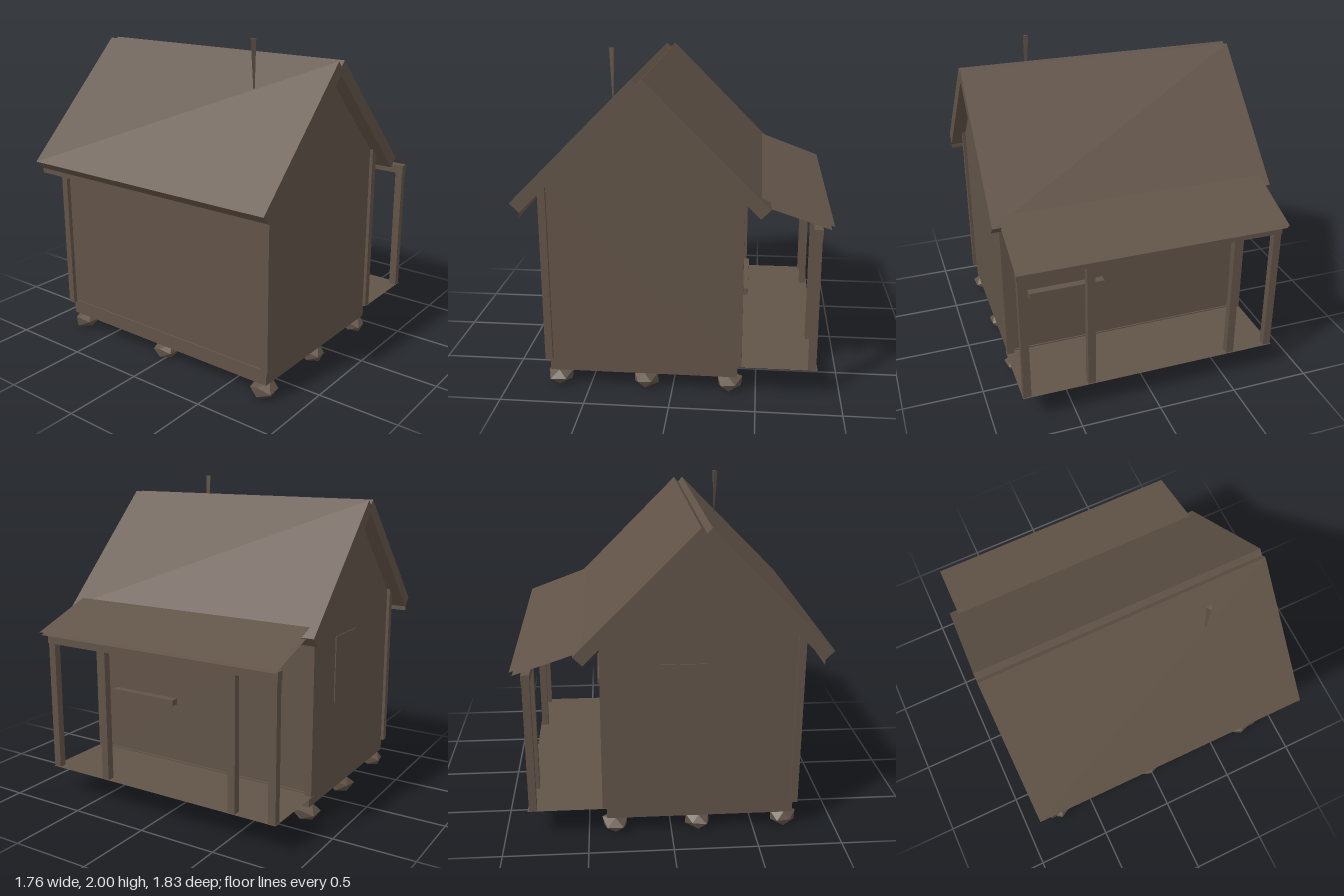
import * as THREE from 'three';

export function createModel() {
  const model = new THREE.Group();
  const wood = new THREE.MeshStandardMaterial({ color: 0x615347, side: THREE.DoubleSide, flatShading: true });
  wood.name = 'weathered wood';
  const MID = 0.175; // z of the ridge

  const add = (name, geo) => {
    const mesh = new THREE.Mesh(geo, wood);
    mesh.name = name;
    model.add(mesh);
    return mesh;
  };
  // box given by its limits
  const block = (name, x0, x1, y0, y1, z0, z1) => {
    const mesh = add(name, new THREE.BoxGeometry(x1 - x0, y1 - y0, z1 - z0));
    mesh.position.set((x0 + x1) / 2, (y0 + y1) / 2, (z0 + z1) / 2);
    return mesh;
  };
  // [z, y] outline extruded along x
  const profile = (name, pts, x0, x1) => {
    const shape = new THREE.Shape(pts.map(([z, y]) => new THREE.Vector2(-z, y)));
    const geo = new THREE.ExtrudeGeometry(shape, { depth: x1 - x0, bevelEnabled: false });
    geo.rotateY(Math.PI / 2).translate(x0, 0, 0);
    return add(name, geo);
  };
  // flat sheet spanning x0..x1 between two [z, y] points
  const sheet = (name, x0, x1, [za, ya], [zb, yb]) => {
    const geo = new THREE.BufferGeometry();
    geo.setAttribute('position', new THREE.Float32BufferAttribute(
      [x0, ya, za, x1, ya, za, x1, yb, zb, x0, yb, zb], 3));
    geo.setIndex([0, 1, 2, 0, 2, 3]);
    geo.computeVertexNormals();
    return add(name, geo);
  };

  // foundation stones: squashed, jittered icosahedra around the perimeter
  let seed = 7;
  const rand = () => (seed = (seed * 16807) % 2147483647) / 2147483647;
  for (const x of [-0.74, -0.01, 0.74]) {
    for (const z of [0.69, 0.165, -0.34]) {
      if (x === -0.01 && z === 0.165) continue;
      const geo = new THREE.IcosahedronGeometry(1, 0);
      const p = geo.attributes.position;
      const moved = new Map();
      for (let i = 0; i < p.count; i++) {
        const key = [p.getX(i), p.getY(i), p.getZ(i)].map((v) => v.toFixed(2)).join();
        if (!moved.has(key)) moved.set(key, 0.82 + 0.3 * rand());
        const k = moved.get(key);
        const y = THREE.MathUtils.clamp(p.getY(i) * k * 0.058, -0.048, 0.052);
        p.setXYZ(i, p.getX(i) * k * 0.088, y, p.getZ(i) * k * 0.085);
      }
      geo.computeVertexNormals();
      add('foundationStone', geo).position.set(x, 0.05, z);
    }
  }

  // sill beams and floor
  block('sillBeamFront', -0.79, 0.79, 0.1, 0.19, 0.65, 0.74);
  block('sillBeamBack', -0.79, 0.79, 0.1, 0.19, -0.39, -0.3);
  for (const s of [-1, 1]) {
    block('sillBeamSide', Math.min(s * 0.79, s * 0.7), Math.max(s * 0.79, s * 0.7), 0.1, 0.19, -0.3, 0.65);
  }
  sheet('floor', -0.7, 0.7, [0.65, 0.185], [-0.3, 0.185]);

  // long walls and gable walls
  block('frontWall', -0.79, 0.79, 0.197, 1.24, 0.72, 0.74);
  block('backWall', -0.79, 0.79, 0.197, 1.24, -0.39, -0.37);
  for (const s of [-1, 1]) {
    const x0 = s > 0 ? 0.775 : -0.795;
    profile('gableWall', [[0.74, 0.19], [0.74, 1.245], [MID, 1.81], [-0.39, 1.245], [-0.39, 0.19]], x0, x0 + 0.02);
    // corner posts
    const c0 = s > 0 ? 0.77 : -0.815;
    profile('cornerPost', [[0.765, 0.18], [0.765, 1.22], [0.72, 1.26], [0.72, 0.18]], c0, c0 + 0.045);
    profile('cornerPost', [[-0.415, 0.18], [-0.415, 1.22], [-0.37, 1.26], [-0.37, 0.18]], c0, c0 + 0.045);
  }

  // two crossing roof slabs
  for (const s of [1, -1]) {
    const pts = [[0.735, 1.18], [0.03, 1.89], [-0.025, 1.835], [0.68, 1.125]];
    profile('roofSlab', pts.map(([z, y]) => [MID + s * z, y]), -0.88, 0.88);
  }
  sheet('eaveBoard', -0.88, 0.88, [0.857, 1.13], [0.857, 1.097]);

  // window and trim
  block('sideWindow', -0.801, -0.795, 0.67, 1.09, -0.09, 0.21);
  block('windowSill', 0.17, 0.66, 0.58, 0.62, -0.44, -0.39);
  block('windowLintel', 0.18, 0.64, 1.12, 1.165, -0.397, -0.39);
  block('doorLintel', -0.47, -0.02, 1.14, 1.185, -0.397, -0.39);

  // back porch: deck, posts, beam and thin roof
  sheet('porchDeck', -0.82, 0.82, [-0.385, 0.183], [-0.86, 0.183]);
  for (const x of [-0.792, -0.53, 0.39, 0.792]) {
    block('porchPost', x - 0.024, x + 0.024, 0.18, 1.0, -0.852, -0.807);
  }
  block('porchBeam', -0.82, 0.82, 1.0, 1.055, -0.855, -0.805);
  sheet('porchRoof', -0.83, 0.83, [-0.5, 1.235], [-0.915, 1.08]);
  sheet('porchRoofUnderside', -0.83, 0.83, [-0.48, 1.2], [-0.9, 1.06]);

  // three-sided spike on the front slope, narrow at the foot
  const spike = add('roofSpike', new THREE.CylinderGeometry(0.02, 0.005, 0.29, 3));
  spike.position.set(0.425, 1.855, 0.38);
  spike.rotation.z = 0.035;

  return model;
}
